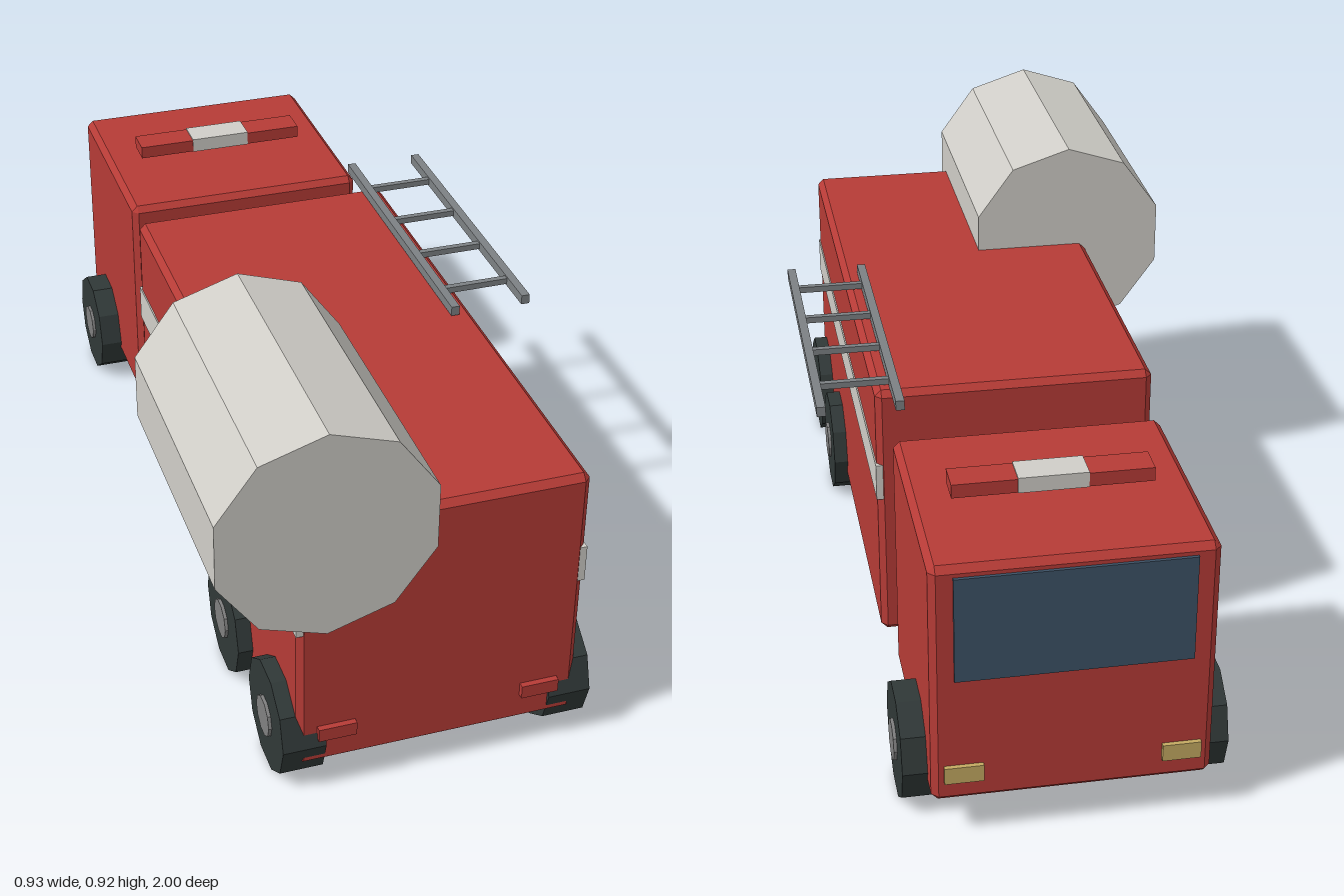
import * as THREE from 'three';
import { ConvexGeometry } from 'three/addons/geometries/ConvexGeometry.js';

const material = (name, color) => {
  const m = new THREE.MeshStandardMaterial({ color, flatShading: true });
  m.name = name;
  return m;
};

// Box with evenly chamfered edges and corners
function chamferedBox(w, h, d, c) {
  const points = [];
  for (const sx of [-1, 1]) for (const sy of [-1, 1]) for (const sz of [-1, 1]) {
    const x = w / 2, y = h / 2, z = d / 2;
    points.push(
      new THREE.Vector3(sx * x, sy * (y - c), sz * (z - c)),
      new THREE.Vector3(sx * (x - c), sy * y, sz * (z - c)),
      new THREE.Vector3(sx * (x - c), sy * (y - c), sz * z));
  }
  return new ConvexGeometry(points);
}

export function createModel() {
  const truck = new THREE.Group();
  truck.name = 'fireTruck';

  const red = material('red paint', 0xb63b36);
  const white = material('off white', 0xd0cec8);
  const rubber = material('tyre rubber', 0x303837);
  const hubGrey = material('hub grey', 0x808080);
  const steel = material('ladder steel', 0x7d8184);
  const glass = material('windscreen glass', 0x3d5266);
  const amber = material('headlight amber', 0xc4aa62);

  const add = (name, geometry, mat, x, y, z, parent = truck) => {
    const mesh = new THREE.Mesh(geometry, mat);
    mesh.name = name;
    mesh.position.set(x, y, z);
    parent.add(mesh);
    return mesh;
  };
  const box = (name, mat, w, h, d, x, y, z, parent) =>
    add(name, new THREE.BoxGeometry(w, h, d), mat, x, y, z, parent);

  const cx = 0.0225; // centre line of the vehicle

  // Equipment body, side stripe and cab
  add('body', chamferedBox(0.612, 0.61, 1.275, 0.014), red, cx, 0.37, 0.3075);
  box('sideStripe', white, 0.618, 0.085, 1.272, cx, 0.453, 0.3075);
  add('cab', chamferedBox(0.575, 0.55, 0.525, 0.014), red, cx, 0.36, -0.7275);

  // Windscreen, headlights and tail lights
  box('windscreen', glass, 0.48, 0.235, 0.009, cx, 0.495, -0.9925);
  for (const s of [-1, 1]) {
    box('headlight', amber, 0.08, 0.038, 0.012, cx + s * 0.2225, 0.155, -0.994);
    box('tailLight', red, 0.082, 0.031, 0.02, cx + s * 0.2225, 0.151, 0.948);
  }

  // Roof light bar
  const lightBar = new THREE.Group();
  lightBar.name = 'lightBar';
  truck.add(lightBar);
  for (const s of [-1, 1])
    box('lightBarEnd', red, 0.135, 0.03, 0.068, cx + s * 0.14, 0.667, -0.727, lightBar);
  box('lightBarCentre', white, 0.145, 0.034, 0.07, cx, 0.668, -0.727, lightBar);

  // Wheels: ten-sided tyres with protruding hubs
  const tyreGeo = new THREE.CylinderGeometry(0.125, 0.125, 0.093, 10).rotateZ(Math.PI / 2);
  const hubGeo = new THREE.CylinderGeometry(0.045, 0.045, 0.107, 10).rotateZ(Math.PI / 2);
  for (const z of [-0.81, 0.5, 0.83]) for (const s of [-1, 1]) {
    const wheel = new THREE.Group();
    wheel.name = 'wheel';
    wheel.position.set(cx + s * 0.2925, 0.119, z);
    truck.add(wheel);
    add('tyre', tyreGeo, rubber, 0, 0, 0, wheel);
    add('hub', hubGeo, hubGrey, 0, 0, 0, wheel);
  }

  // Ladder lying over the left edge of the roof
  const ladder = new THREE.Group();
  ladder.name = 'ladder';
  ladder.position.set(0.369, 0.688, -0.06);
  truck.add(ladder);
  for (const s of [-1, 1]) box('rail', steel, 0.019, 0.022, 0.72, s * 0.0835, 0, 0, ladder);
  for (let i = 0; i < 4; i++)
    box('rung', steel, 0.16, 0.014, 0.014, 0, 0, -0.238 + i * 0.168, ladder);

  // Large hose drum on the rear corner
  const drumGeo = new THREE.CylinderGeometry(0.235, 0.235, 0.61, 10).rotateX(-Math.PI / 2);
  add('hoseDrum', drumGeo, white, -0.24, 0.69, 0.695);

  return truck;
}
